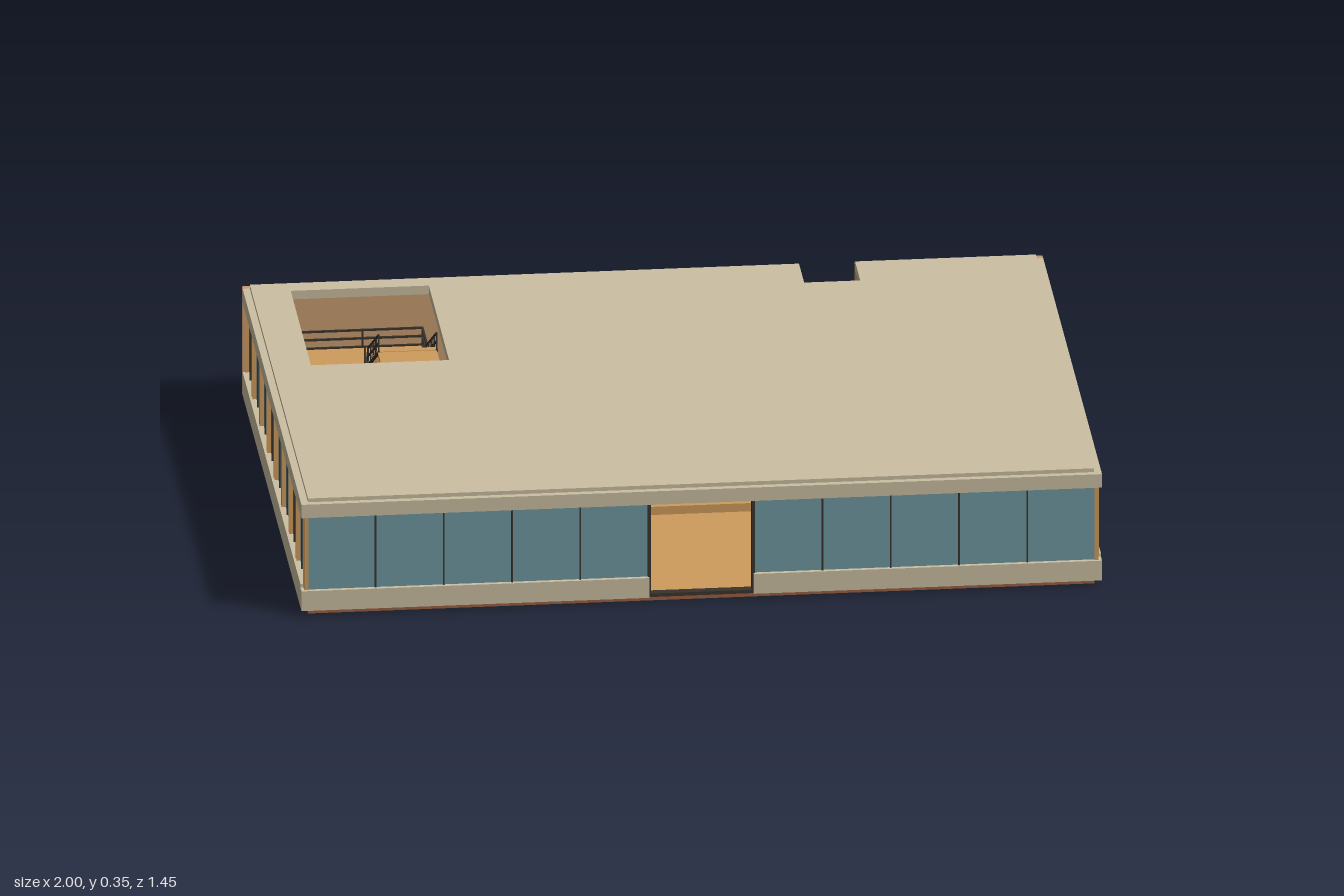
import * as THREE from 'three';

const mat = (name, color) => {
  const m = new THREE.MeshStandardMaterial({ color });
  m.name = name;
  return m;
};

export function createModel() {
  const stone = mat('pale stone', 0xcbbfa2);
  const wood = mat('warm wood', 0xcf9c5c);
  const wallTan = mat('tan wall', 0xc79c70);
  const glass = mat('blue glass', 0x6f97a1);
  const baseBrown = mat('base brown', 0x9c5f42);
  const metal = mat('dark metal', 0x3a332c);

  const root = new THREE.Group();
  root.name = 'pavilion';
  const group = (name) => {
    const g = new THREE.Group();
    g.name = name;
    root.add(g);
    return g;
  };
  // box given by its min and max on each axis
  const box = (parent, name, m, x0, x1, y0, y1, z0, z1) => {
    const mesh = new THREE.Mesh(new THREE.BoxGeometry(x1 - x0, y1 - y0, z1 - z0), m);
    mesh.position.set((x0 + x1) / 2, (y0 + y1) / 2, (z0 + z1) / 2);
    mesh.name = name;
    parent.add(mesh);
    return mesh;
  };
  // square bar between two points
  const bar = (parent, name, m, a, b, t) => {
    const p = new THREE.Vector3(...a), q = new THREE.Vector3(...b);
    const mesh = new THREE.Mesh(new THREE.BoxGeometry(t, t, p.distanceTo(q)), m);
    mesh.position.copy(p).lerp(q, 0.5);
    mesh.lookAt(q);
    mesh.name = name;
    parent.add(mesh);
  };

  // horizontal slab with the rear notch, optionally with the stair opening
  const NX0 = 0.39, NX1 = 0.53, NZ = -0.585;
  const slab = (name, m, hx, hz, y0, y1, opening) => {
    const s = new THREE.Shape([
      [-hx, -hz], [hx, -hz], [hx, hz], [NX1, hz], [NX1, -NZ], [NX0, -NZ], [NX0, hz], [-hx, hz],
    ].map(([x, y]) => new THREE.Vector2(x, y)));
    if (opening) {
      s.holes.push(new THREE.Path([
        [-0.885, 0.165], [-0.885, 0.66], [-0.54, 0.66], [-0.54, 0.165],
      ].map(([x, y]) => new THREE.Vector2(x, y))));
    }
    const geo = new THREE.ExtrudeGeometry(s, { depth: y1 - y0, bevelEnabled: false });
    geo.rotateX(-Math.PI / 2);
    const mesh = new THREE.Mesh(geo, m);
    mesh.position.y = y0;
    mesh.name = name;
    root.add(mesh);
  };
  slab('base', baseBrown, 0.982, 0.712, 0, 0.013);
  slab('floor', wood, 0.98, 0.711, 0.013, 0.02);
  slab('roof', stone, 0.982, 0.711, 0.285, 0.308, true);

  // rear wall on both sides of the notch, and the notch lining
  const rear = group('rearWall');
  box(rear, 'rearWallRight', wallTan, -1, NX0, 0.013, 0.298, -0.727, -0.71);
  box(rear, 'rearWallLeft', wallTan, NX1, 1, 0.013, 0.298, -0.727, -0.71);
  box(rear, 'notchSideLeft', wood, NX1, NX1 + 0.012, 0.013, 0.298, -0.712, NZ);
  box(rear, 'notchSideRight', stone, NX0 - 0.012, NX0, 0.013, 0.298, -0.712, NZ);
  box(rear, 'notchBack', wood, NX0 - 0.012, NX1 + 0.012, 0.013, 0.298, NZ, NZ + 0.012);
  for (let i = 0; i < 3; i++) {
    box(rear, 'wallFitting', metal, NX1 - 0.005, NX1, 0.1 + i * 0.05, 0.115 + i * 0.05, -0.7, -0.66);
  }

  // front: fascia, sill, five panes on each side of the entrance
  const front = group('frontFacade');
  box(front, 'frontFascia', stone, -1, 1, 0.262, 0.298, 0.7, 0.727);
  const pitch = 0.1705;
  for (const s of [-1, 1]) {
    const span = (name, m, a, b, y0, y1, z0, z1) =>
      box(front, name, m, Math.min(s * a, s * b), Math.max(s * a, s * b), y0, y1, z0, z1);
    span('frontSill', stone, 0.13, 1, 0.013, 0.066, 0.7, 0.727);
    for (let i = 0; i < 5; i++) {
      const a = 0.132 + i * pitch;
      span('frontPane', glass, a, a + pitch, 0.066, 0.262, 0.708, 0.716);
      span('frontMullion', metal, a - 0.002, a + 0.002, 0.066, 0.262, 0.704, 0.721);
    }
    span('cornerPost', wood, 0.982, 0.992, 0.066, 0.262, 0.704, 0.72);
    span('entranceJamb', metal, 0.126, 0.131, 0.013, 0.262, 0.7, 0.722);
  }
  box(front, 'threshold', metal, -0.13, 0.13, 0.013, 0.022, 0.7, 0.722);

  // sides: eight bays of three panes, each with a post and a slim open slot
  const bay = 0.179;
  for (const s of [-1, 1]) {
    const side = group(s > 0 ? 'leftFacade' : 'rightFacade');
    const span = (name, m, a, b, y0, y1, z0, z1) =>
      box(side, name, m, Math.min(s * a, s * b), Math.max(s * a, s * b), y0, y1, z0, z1);
    span('sideFascia', stone, 0.972, 1, 0.26, 0.298, -0.711, 0.7);
    span('sideSill', stone, 0.972, 1, 0.013, 0.075, -0.711, 0.7);
    for (let i = 0; i < 8; i++) {
      const z = 0.712 - i * bay;
      span('sidePost', wood, 0.972, 0.994, 0.075, 0.26, z - 0.007, z);
      span('sidePane', glass, 0.976, 0.984, 0.075, 0.26, z - 0.166, z - 0.007);
      for (const k of [1, 2]) {
        const zm = z - 0.007 - k * 0.053;
        span('sideMullion', metal, 0.974, 0.988, 0.075, 0.26, zm - 0.0015, zm + 0.0015);
      }
      span('sidePostEnd', wood, 0.972, 0.994, 0.075, 0.26, z - 0.17, z - 0.166);
    }
  }

  // entrance hall: steps, panelled screen and two chairs
  const hall = group('entranceHall');
  for (let i = 0; i < 3; i++) {
    box(hall, 'hallStep', i % 2 ? stone : wood, -0.3, 0.3, 0.02, 0.042 + i * 0.021, -0.12, 0.2 - i * 0.03);
  }
  box(hall, 'screenLower', wood, -0.3, 0.3, 0.084, 0.16, -0.13, -0.12);
  box(hall, 'screenUpper', stone, -0.3, 0.3, 0.16, 0.285, -0.13, -0.12);
  box(hall, 'screenJoint', metal, -0.001, 0.001, 0.16, 0.285, -0.12, -0.118);
  box(hall, 'screenRail', metal, -0.3, 0.3, 0.158, 0.16, -0.12, -0.118);
  for (const s of [-1, 1]) {
    const cx = s * 0.065;
    box(hall, 'chairSeat', stone, cx - 0.02, cx + 0.02, 0.1, 0.108, 0, 0.04);
    box(hall, 'chairBack', stone, cx - 0.02, cx + 0.02, 0.108, 0.13, 0, 0.005);
    for (const dx of [-0.018, 0.018]) for (const z of [0.003, 0.037]) {
      bar(hall, 'chairLeg', metal, [cx + dx, 0.084, z], [cx + dx, 0.1, z], 0.003);
    }
    box(hall, 'planter', metal, s * 0.115 - 0.018, s * 0.115 + 0.018, 0.084, 0.105, 0.05, 0.08);
  }

  // roof stair: two flights joined by a landing
  const stair = group('roofStair');
  const N = 12, Z0 = -0.24, Z1 = -0.5, LOW = 0.02, MID = 0.165, TOP = 0.305;
  const flight = (x0, x1, zA, zB, yA, yB) => {
    const dz = (zB - zA) / N;
    for (let i = 0; i < N; i++) {
      const y = yA + ((yB - yA) * (i + 1)) / N, z = zA + i * dz;
      box(stair, 'tread', wood, x0, x1, y - 0.005, y, Math.min(z, z + dz * 0.85), Math.max(z, z + dz * 0.85));
    }
    for (const x of [x0, x1]) {
      bar(stair, 'stringer', metal, [x, yA, zA], [x, yB, zB], 0.006);
      for (const h of [0.025, 0.047]) {
        bar(stair, 'handrail', metal, [x, yA + h, zA], [x, yB + h, zB], 0.004);
      }
      for (let i = 0; i <= 4; i++) {
        const t = i / 4, y = yA + (yB - yA) * t, z = zA + (zB - zA) * t;
        bar(stair, 'baluster', metal, [x, y, z], [x, y + 0.047, z], 0.004);
      }
    }
  };
  flight(-0.863, -0.716, Z0, Z1, LOW, MID);
  flight(-0.708, -0.563, Z1, Z0, MID, TOP);
  box(stair, 'landing', wood, -0.865, -0.56, MID - 0.008, MID, -0.62, Z1);
  box(stair, 'topLanding', wood, -0.71, -0.563, TOP - 0.01, TOP, Z0, -0.165);
  for (const h of [0.002, 0.025, 0.047]) {
    const y = MID + h;
    bar(stair, 'landingRail', metal, [-0.865, y, -0.62], [-0.56, y, -0.62], 0.005);
    for (const x of [-0.865, -0.56]) bar(stair, 'landingRail', metal, [x, y, -0.62], [x, y, Z1], 0.005);
  }
  for (const x of [-0.865, -0.71, -0.56]) {
    bar(stair, 'landingPost', metal, [x, LOW, -0.62], [x, MID + 0.047, -0.62], 0.005);
  }

  return root;
}
